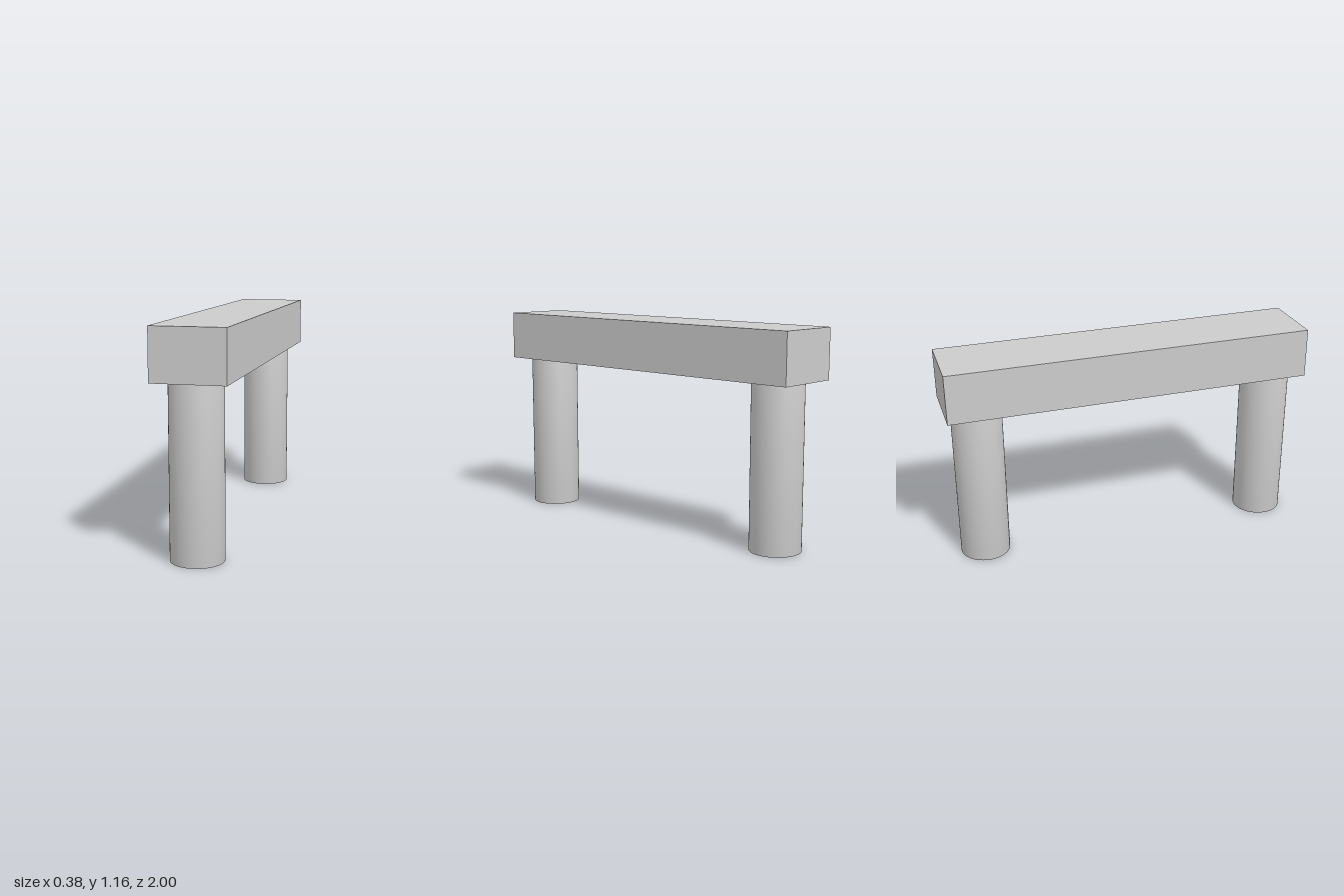
import * as THREE from 'three';
import { mergeVertices } from 'three/addons/utils/BufferGeometryUtils.js';

export function createModel() {
  const model = new THREE.Group();
  model.name = 'beamOnPosts';
  const material = new THREE.MeshStandardMaterial({ color: 0xcccccc });

  // Square-edged beam, its front end slightly raised
  const beam = new THREE.Mesh(new THREE.BoxGeometry(0.38, 0.27, 2), material);
  beam.name = 'beam';
  beam.position.y = 1.024;
  beam.rotation.x = -0.006;
  model.add(beam);

  // Round posts, with normals blended over the rims
  const addPost = (name, z, height) => {
    let geometry = new THREE.CylinderGeometry(0.137, 0.137, height, 64);
    geometry.deleteAttribute('normal');
    geometry.deleteAttribute('uv');
    geometry = mergeVertices(geometry, 1e-4);
    geometry.computeVertexNormals();
    const post = new THREE.Mesh(geometry, material);
    post.name = name;
    post.position.set(0, height / 2, z);
    model.add(post);
  };
  addPost('frontPost', 0.843, 0.9);
  addPost('backPost', -0.822, 0.89);

  return model;
}
